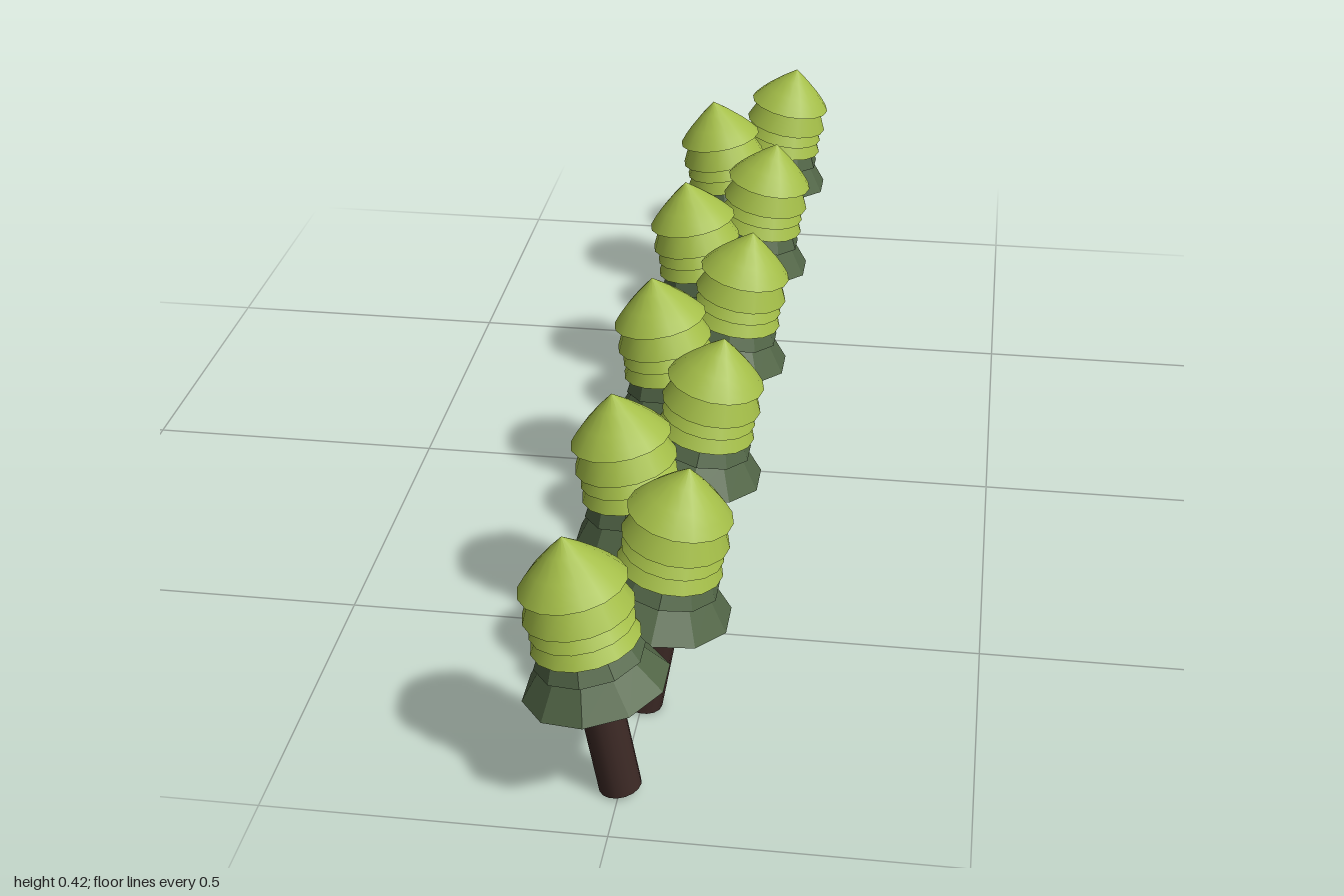
import * as THREE from 'three';
import { mergeGeometries } from 'three/addons/utils/BufferGeometryUtils.js';

const leafLight = new THREE.MeshStandardMaterial({ name: 'lightLeaf', color: 0xa4be48 });
const leafDark = new THREE.MeshStandardMaterial({ name: 'darkLeaf', color: 0x526647, flatShading: true });
const bark = new THREE.MeshStandardMaterial({ name: 'bark', color: 0x3c2925 });

// Closed frustum between two heights
function tier(y0, r0, y1, r1, sides) {
  return new THREE.CylinderGeometry(r1, r0, y1 - y0, sides).translate(0, (y0 + y1) / 2, 0);
}

// Slightly rounded pointed crown with a flat underside
function crownGeometry() {
  const profile = [[0.078, 0.345], [0.066, 0.36], [0.052, 0.375], [0.026, 0.399], [0, 0.42]];
  const shell = new THREE.LatheGeometry(profile.map(([r, y]) => new THREE.Vector2(r, y)), 16);
  const base = new THREE.CircleGeometry(0.078, 16).rotateX(Math.PI / 2).translate(0, 0.345, 0);
  return mergeGeometries([shell, base]);
}

const parts = [
  ['trunk', tier(0, 0.031, 0.2, 0.031, 16), bark],
  ['lowerSkirt', tier(0.179, 0.106, 0.226, 0.069, 10), leafDark],
  ['upperSkirt', tier(0.225, 0.08, 0.254, 0.065, 10), leafDark],
  ['lowerTier', tier(0.253, 0.079, 0.279, 0.065, 16), leafLight],
  ['middleTier', tier(0.278, 0.076, 0.305, 0.061, 16), leafLight],
  ['upperTier', tier(0.303, 0.08, 0.347, 0.06, 16), leafLight],
  ['crown', crownGeometry(), leafLight],
];

export function createModel() {
  const row = new THREE.Group();
  row.name = 'treeRow';
  // Ten trees along z, leaning to alternate sides
  for (let i = 0; i < 10; i++) {
    const tree = new THREE.Group();
    tree.name = `tree${i + 1}`;
    for (const [name, geometry, material] of parts) {
      const mesh = new THREE.Mesh(geometry, material);
      mesh.name = name;
      tree.add(mesh);
    }
    tree.position.set(0, 0.0055, 0.8935 - i * 0.19856);
    tree.rotation.z = THREE.MathUtils.degToRad(i % 2 ? -10 : 10);
    row.add(tree);
  }
  return row;
}
